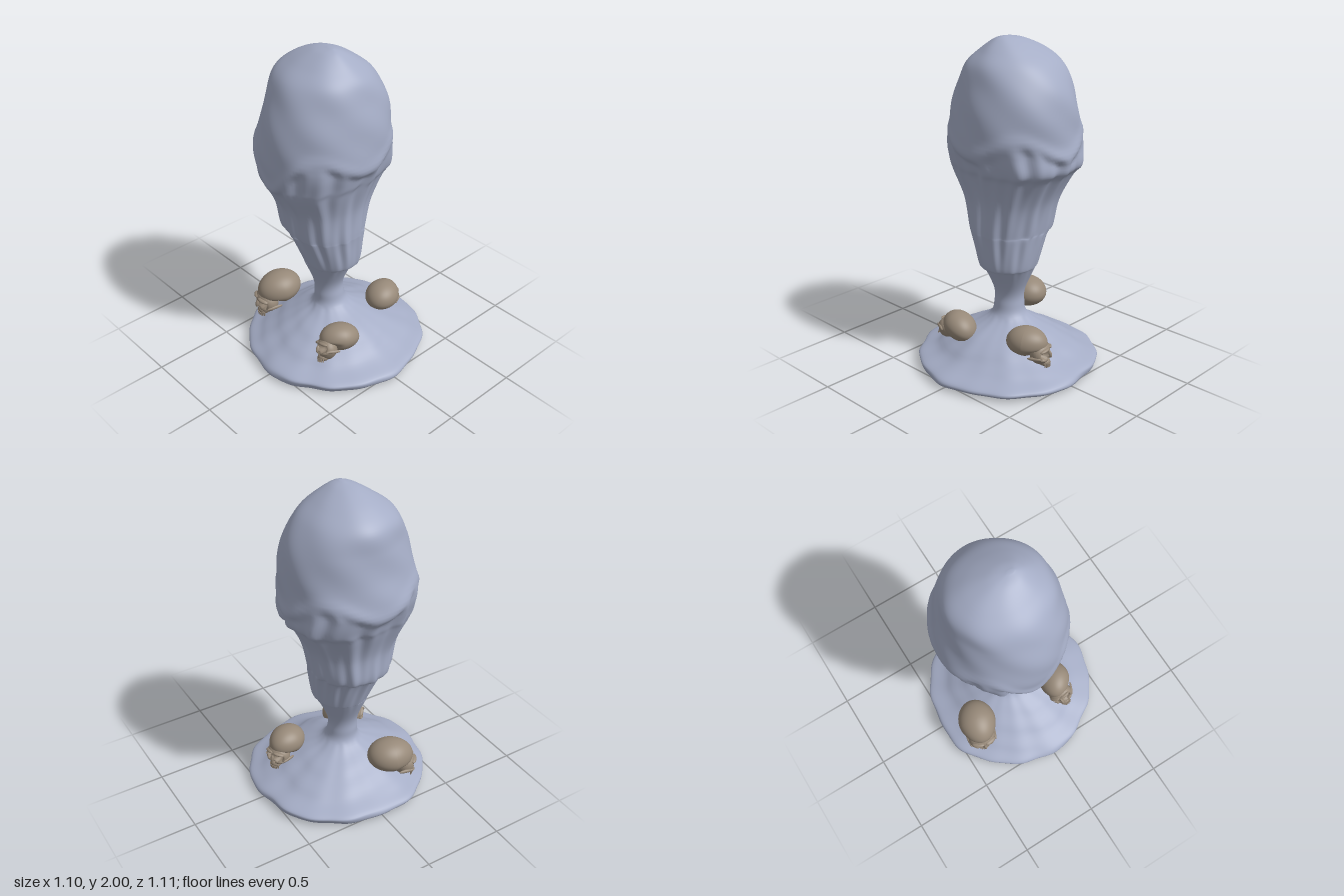
import * as THREE from 'three';

const smooth = THREE.MathUtils.smoothstep;

// Body sections from the hollow underside to the crown: y, min x, max x, max z, min z
const SECTIONS = [
  [0.075, -0.01, 0.01, 0.01, -0.01],
  [0.03, -0.42, 0.41, 0.43, -0.42],
  [0.004, -0.51, 0.50, 0.52, -0.51],
  [0.05, -0.545, 0.54, 0.55, -0.55],
  [0.10, -0.44, 0.42, 0.46, -0.45],
  [0.20, -0.29, 0.27, 0.29, -0.27],
  [0.29, -0.15, 0.09, 0.135, -0.11],
  [0.38, -0.13, 0.05, 0.11, -0.075],
  [0.47, -0.138, 0.053, 0.118, -0.083],
  [0.61, -0.197, 0.12, 0.172, -0.145],
  [0.64, -0.21, 0.16, 0.185, -0.165],
  [0.82, -0.285, 0.182, 0.255, -0.20],
  [0.87, -0.34, 0.187, 0.275, -0.21],
  [1.04, -0.347, 0.194, 0.31, -0.25],
  [1.20, -0.40, 0.235, 0.395, -0.335],
  [1.27, -0.43, 0.265, 0.413, -0.395],
  [1.40, -0.46, 0.292, 0.418, -0.38],
  [1.58, -0.418, 0.278, 0.395, -0.372],
  [1.72, -0.393, 0.247, 0.35, -0.335],
  [1.84, -0.367, 0.207, 0.29, -0.255],
  [1.92, -0.275, 0.135, 0.195, -0.155],
  [1.98, -0.14, 0.06, 0.10, -0.05],
  [2.0, -0.03, 0.01, 0.035, 0.015],
];

// Scalloped lower edge of the hood: four dips, the front one deepest
function hoodEdge(a) {
  const front = Math.pow(Math.max(0, Math.cos(a)), 6);
  const dip = 0.5 + 0.5 * Math.cos(4 * a);
  return 1.43 - dip * (0.1 + 0.12 * front);
}

// Radius factor for hood facets, hanging folds and the uneven foot
function relief(a, y) {
  if (y < 0.3) {
    const rim = 0.012 * Math.sin(5 * a + 1) + 0.009 * Math.sin(9 * a) + 0.006 * Math.sin(16 * a + 2);
    return 1 + rim + 0.01 * Math.sin(y * 90 + 2 * Math.sin(2 * a));
  }
  const edge = hoodEdge(a);
  const below = smooth(edge - y, -0.015, 0.03);
  const folds = smooth(y, 0.5, 0.8) * below;
  const ridges = 0.022 * Math.sin(13 * a + 3 * y) + 0.014 * Math.sin(22 * a - 4 * y)
    - 0.03 * Math.cos(4 * a) * smooth(y, 0.7, 1.1);
  const lip = 0.03 * Math.exp(-Math.pow((y - edge - 0.03) / 0.04, 2));
  const lumps = 0.014 * Math.sin(5 * a + 9 * y) * Math.sin(13 * y + 2 * a) * smooth(y, 1.3, 1.5);
  return 1 + lip + folds * (ridges - 0.025) + lumps;
}

// Smooth curve through the sections
function catmull(p, k, t) {
  const at = i => p[Math.min(Math.max(i, 0), p.length - 1)];
  return at(k).map((b, n) => {
    const a = at(k - 1)[n], c = at(k + 1)[n], d = at(k + 2)[n];
    return b + 0.5 * t * (c - a + t * (2 * a - 5 * b + 4 * c - d + t * (3 * (b - c) + d - a)));
  });
}

function bodyGeometry() {
  const around = 144, steps = 7, pos = [], idx = [];
  const rows = (SECTIONS.length - 1) * steps + 1;
  for (let j = 0; j < rows; j++) {
    const [y, l, r, f, b] = catmull(SECTIONS, Math.floor(j / steps), (j % steps) / steps);
    for (let i = 0; i < around; i++) {
      const a = i / around * Math.PI * 2, k = relief(a, y);
      pos.push((l + r) / 2 + (r - l) / 2 * k * Math.sin(a),
        Math.max(0, y),
        (f + b) / 2 + (f - b) / 2 * k * Math.cos(a));
    }
  }
  for (let j = 0; j < rows - 1; j++) for (let i = 0; i < around; i++) {
    const n = (i + 1) % around, a = j * around + i, b = j * around + n;
    idx.push(a, b, a + around, b, b + around, a + around);
  }
  // Caps at the crown and the centre of the hollow
  const last = (rows - 1) * around;
  pos.push(-0.01, 2, 0.025, 0, 0.075, 0);
  for (let i = 0; i < around; i++) {
    const n = (i + 1) % around;
    idx.push(last + i, last + n, last + around, n, i, last + around + 1);
  }
  const g = new THREE.BufferGeometry();
  g.setAttribute('position', new THREE.Float32BufferAttribute(pos, 3));
  g.setIndex(idx);
  g.computeVertexNormals();
  return g;
}

// Ellipsoid whose points are moved by a rule
function blob(rx, ry, rz, rule) {
  const g = new THREE.SphereGeometry(1, 48, 36);
  g.scale(rx, ry, rz);
  const p = g.attributes.position, v = new THREE.Vector3();
  for (let i = 0; rule && i < p.count; i++) {
    rule(v.fromBufferAttribute(p, i));
    p.setXYZ(i, v.x, v.y, v.z);
  }
  g.computeVertexNormals();
  return g;
}

const dent = (v, x, y, r) => Math.exp(-Math.pow(((v.x - x) ** 2 + (v.y - y) ** 2) / (r * r), 2));

function makeSkull(bone) {
  const skull = new THREE.Group();
  const add = (name, geometry, x, y, z, rx = 0, ry = 0, rz = 0) => {
    const m = new THREE.Mesh(geometry, bone);
    m.name = name;
    m.position.set(x, y, z);
    m.rotation.set(rx, ry, rz);
    skull.add(m);
  };
  // Cranium, narrower at the forehead, flatter underneath and hollowed behind the sockets
  add('cranium', blob(0.105, 0.092, 0.125, v => {
    v.x *= 1 - 0.9 * Math.max(0, v.z);
    if (v.y < 0) v.y *= 0.85;
    if (v.z > 0) v.z *= 1 - 0.45 * smooth(-v.y, 0.015, 0.04);
  }), 0, 0, 0);
  // Face with sunken eye sockets and nose opening
  add('face', blob(0.078, 0.07, 0.062, v => {
    v.x *= 1 - 4 * Math.max(0, -v.y - 0.015);
    if (v.z > 0) {
      for (const s of [-1, 1]) v.z -= 0.045 * dent(v, s * 0.036, 0.008, 0.024);
      v.z -= 0.03 * dent(v, 0, -0.026, 0.012);
    }
  }), 0, -0.055, 0.085);
  // Upper jaw with a row of teeth
  add('upperJaw', blob(0.036, 0.026, 0.036), 0, -0.106, 0.108);
  for (let i = 0; i < 8; i++) {
    const a = (i - 3.5) * 0.3;
    add('tooth', new THREE.CylinderGeometry(0.006, 0.004, 0.022, 6),
      0.034 * Math.sin(a), -0.122, 0.108 + 0.034 * Math.cos(a));
  }
  add('noseBridge', blob(0.009, 0.024, 0.012), 0, -0.052, 0.143, -0.3);
  for (const s of [-1, 1]) {
    add('brow', blob(0.034, 0.01, 0.016), s * 0.036, -0.021, 0.124, 0, s * 0.4, -s * 0.15);
    add('cheekbone', blob(0.027, 0.011, 0.014), s * 0.048, -0.078, 0.116, 0, s * 0.7, s * 0.25);
    add('cheekArch', blob(0.008, 0.01, 0.045), s * 0.076, -0.066, 0.075, 0, -s * 0.1);
  }
  return skull;
}

export function createModel() {
  const stone = new THREE.MeshStandardMaterial({ color: 0xa5adc6 });
  stone.name = 'paleBlueStone';
  const bone = new THREE.MeshStandardMaterial({ color: 0x978979 });
  bone.name = 'bone';

  const model = new THREE.Group();
  model.name = 'hoodedStalk';
  const body = new THREE.Mesh(bodyGeometry(), stone);
  body.name = 'stalkAndHood';
  model.add(body);

  // Skulls resting on the foot: position, pitch, yaw, roll, scale
  const skulls = [
    ['rightSkull', [-0.355, 0.285, 0.165], 0.1, -0.22, 0, 1.15],
    ['leftSkull', [0.232, 0.235, 0.18], -0.15, -0.35, 0.45, 1],
    ['backSkull', [0.13, 0.26, -0.288], 0, Math.PI + 0.38, 0, 1],
  ];
  for (const [name, at, pitch, yaw, roll, size] of skulls) {
    const s = makeSkull(bone);
    s.name = name;
    s.position.set(...at);
    s.rotation.set(pitch, yaw, roll, 'YXZ');
    s.scale.setScalar(size);
    model.add(s);
  }
  return model;
}
